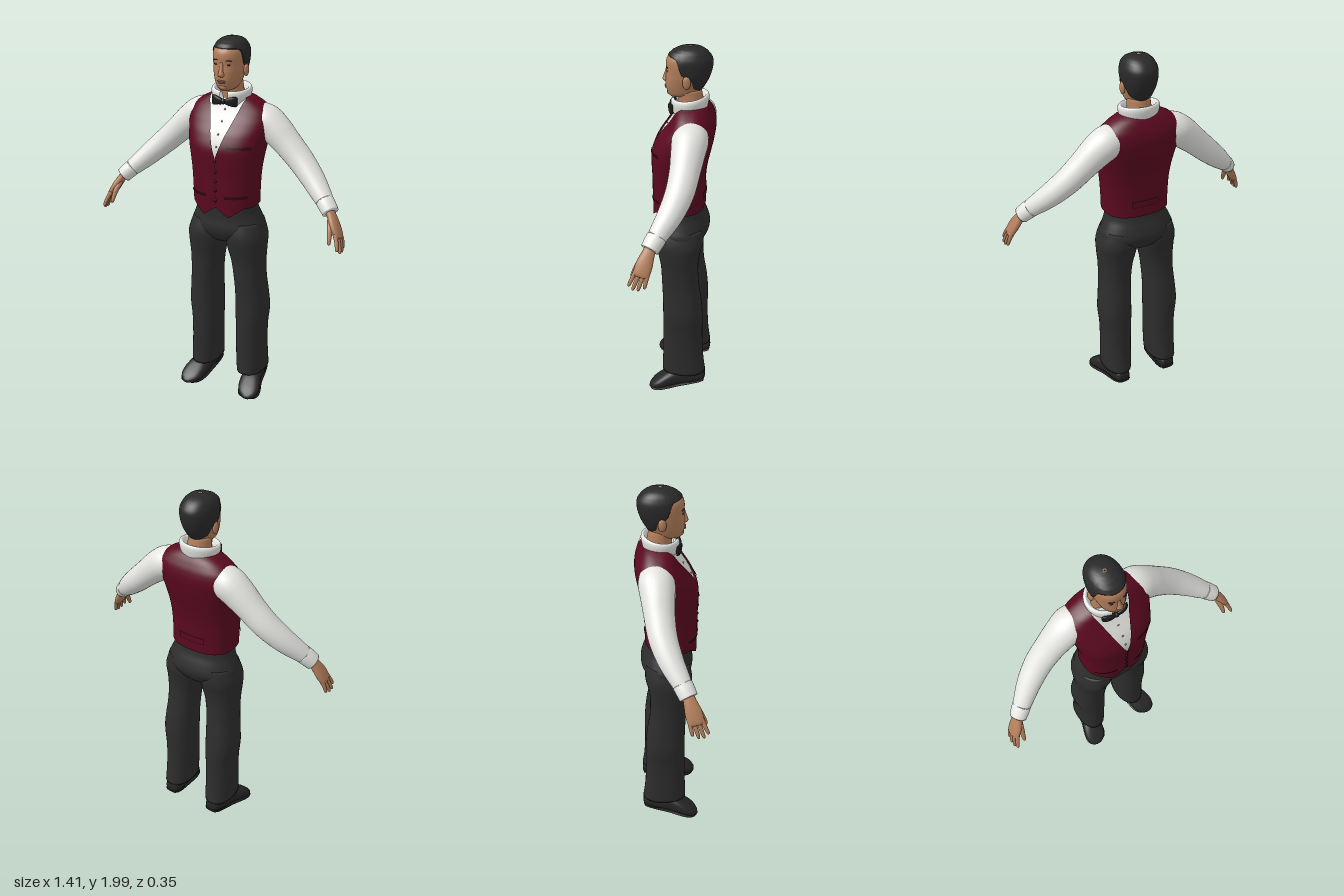
import * as THREE from 'three';

const V = (x, y, z) => new THREE.Vector3(x, y, z);
const lerp = THREE.MathUtils.lerp, clamp = THREE.MathUtils.clamp;
const mat = (name, color, side = THREE.FrontSide) => {
  const m = new THREE.MeshStandardMaterial({ color, side });
  m.name = name;
  return m;
};

// Smooth interpolation through rows of numbers: segment k, fraction f
function spline(rows, k, f) {
  const r = i => rows[clamp(i, 0, rows.length - 1)];
  const [a, b, c, d] = [r(k - 1), r(k), r(k + 1), r(k + 2)];
  return b.map((_, i) => b[i] + 0.5 * f * (c[i] - a[i] +
    f * (2 * a[i] - 5 * b[i] + 4 * c[i] - d[i] + f * (3 * (b[i] - c[i]) + d[i] - a[i]))));
}
// Look a row up by its first column
function byHeight(rows, y) {
  const h = clamp(y, rows[0][0], rows[rows.length - 1][0]);
  let k = 0;
  while (k < rows.length - 2 && h > rows[k + 1][0]) k++;
  return spline(rows, k, (h - rows[k][0]) / (rows[k + 1][0] - rows[k][0]));
}
// Surface from a function of u, v; wrap joins the u ends
function grid(nu, nv, f, wrap = false) {
  const pos = [], idx = [], w = wrap ? nu : nu + 1;
  for (let j = 0; j <= nv; j++) for (let i = 0; i < w; i++) pos.push(...f(i / nu, j / nv).toArray());
  for (let j = 0; j < nv; j++) for (let i = 0; i < nu; i++) {
    const a = j * w + i, b = j * w + (i + 1) % w;
    idx.push(a, b, b + w, a, b + w, a + w);
  }
  const g = new THREE.BufferGeometry();
  g.setAttribute('position', new THREE.Float32BufferAttribute(pos, 3));
  g.setIndex(idx);
  g.computeVertexNormals();
  return g;
}
const sp = (v, p) => Math.sign(v) * Math.abs(v) ** p;
// Closed loft; rows are [x, y, z, radius along ref, radius across]
function loft(rows, { axis, ref = V(0, 0, 1), p = 1, nu = 28, step = 4 } = {}) {
  const n = rows.length - 1, nv = n * step + 2;
  const at = t => { const k = Math.min(Math.floor(t), n - 1); return spline(rows, k, t - k); };
  return grid(nu, nv, (u, v) => {
    const j = Math.round(v * nv), t = clamp((j - 1) / (nv - 2), 0, 1) * n;
    const r = at(t), c = V(r[0], r[1], r[2]), s = j === 0 || j === nv ? 0 : 1, a = u * Math.PI * 2;
    const q0 = at(Math.max(0, t - 0.1)), q1 = at(Math.min(n, t + 0.1));
    const d = axis || V(q1[0] - q0[0], q1[1] - q0[1], q1[2] - q0[2]).normalize();
    const e1 = ref.clone().addScaledVector(d, -ref.dot(d)).normalize(), e2 = d.clone().cross(e1);
    return c.addScaledVector(e1, s * r[3] * sp(Math.cos(a), p)).addScaledVector(e2, s * r[4] * sp(Math.sin(a), p));
  }, true);
}

// Torso and head profiles: [y, half width, front z, back z]
const TORSO = [[1.13, .175, .15, -.12], [1.2, .176, .152, -.118], [1.3, .182, .152, -.12], [1.38, .192, .155, -.132],
  [1.45, .205, .153, -.148], [1.52, .218, .125, -.162], [1.58, .228, .085, -.168], [1.63, .213, .052, -.158],
  [1.67, .165, .034, -.138], [1.695, .118, .022, -.12], [1.705, .088, .012, -.1]];
const HEAD = [[1.733, .02, .056, 0], [1.742, .042, .068, -.035], [1.76, .057, .077, -.08], [1.79, .067, .085, -.102],
  [1.83, .077, .085, -.125], [1.87, .083, .081, -.14], [1.91, .085, .083, -.147], [1.94, .081, .076, -.143],
  [1.97, .066, .048, -.12], [1.985, .048, .018, -.095], [1.993, .026, -.01, -.066], [1.996, .003, -.034, -.04]];
const shell = (rows, p) => (a, y, off = 0) => {
  const [, rx, f, b] = byHeight(rows, y);
  return V((rx + off) * sp(Math.sin(a), p), y, (f + b) / 2 + ((f - b) / 2 + off) * sp(Math.cos(a), p));
};
const torso = shell(TORSO, 0.8), head = shell(HEAD, 0.92);
const angleAt = (rows, p, x, y) => Math.sign(x) * Math.asin(Math.min(0.95, Math.abs(x) / byHeight(rows, y)[1]) ** (1 / p));
const onTorso = (x, y, off) => torso(angleAt(TORSO, 0.8, x, y), y, off);
const onFace = (x, y, off) => head(angleAt(HEAD, 0.92, x, y), y, off);

export function createModel() {
  const root = new THREE.Group();
  root.name = 'waiter';
  const D = THREE.DoubleSide;
  const skin = mat('skin', 0xb27d5a), hair = mat('hair', 0x29292a, D), lips = mat('lips', 0x96614c),
    shirt = mat('shirt white', 0xe4e4e1, D), vest = mat('vest burgundy', 0x5a0920, D), trim = mat('vest trim', 0x30050f, D),
    cloth = mat('trouser charcoal', 0x2d2d2e), shoe = mat('shoe black', 0x262627), black = mat('bow black', 0x1b1b1d),
    button = mat('shirt button', 0x8c8c8c);
  const add = (name, geo, m, at) => {
    const mesh = new THREE.Mesh(geo, m);
    mesh.name = name;
    if (at) mesh.position.copy(at);
    root.add(mesh);
    return mesh;
  };
  const blob = (name, m, at, x, y, z) => add(name, new THREE.SphereGeometry(1, 20, 14), m, at).scale.set(x, y, z);

  // Head, neck and hair cap with a shaped hairline
  add('head', grid(48, 40, (u, v) => head(u * Math.PI * 2, lerp(1.733, 1.996, (1 - Math.cos(v * Math.PI)) / 2)), true), skin);
  add('neck', loft([[0, 1.62, -.05, .07, .075], [0, 1.7, -.045, .065, .064], [0, 1.78, -.035, .06, .058]], { axis: V(0, 1, 0) }), skin);
  const HAIRLINE = [[0, 1.95], [.8, 1.948], [1.15, 1.935], [1.35, 1.87], [1.6, 1.85], [1.85, 1.83], [2.1, 1.79], [Math.PI, 1.762]];
  add('hair', grid(64, 24, (u, v) => {
    const a = u * Math.PI * 2, low = byHeight(HAIRLINE, Math.min(a, 2 * Math.PI - a))[1];
    const y = lerp(low, 1.996, Math.sin(v * Math.PI / 2)), pnt = head(a, y, v === 0 ? -.003 : .006);
    pnt.y += .004 * v;
    return pnt;
  }, true), hair);

  // Face
  add('nose', loft([[0, 1.812, .084, .008, .012], [0, 1.822, .086, .015, .018], [0, 1.838, .086, .012, .012],
    [0, 1.86, .081, .009, .009], [0, 1.885, .076, .007, .008]], { axis: V(0, 1, 0) }), skin);
  blob('upperLip', lips, onFace(0, 1.79, -.001), .024, .005, .007);
  blob('lowerLip', lips, onFace(0, 1.781, -.001), .02, .005, .007);
  blob('chin', skin, onFace(0, 1.757, -.01), .024, .016, .015);
  for (const s of [1, -1]) {
    blob('eye', hair, onFace(s * .034, 1.874, -.001), .012, .004, .004);
    const brow = add('brow', new THREE.SphereGeometry(1, 16, 10), hair, onFace(s * .036, 1.895, 0));
    brow.scale.set(.018, .003, .004);
    brow.rotation.set(0, s * .35, -s * .08);
    blob('ear', skin, V(s * .086, 1.835, -.03), .012, .034, .021);
  }

  // Shirt body, collar and small buttons
  add('shirtBody', grid(64, 20, (u, v) => torso(u * Math.PI * 2, lerp(1.33, 1.705, v), -.007), true), shirt);
  const COLLAR = [[.098, 1.668], [.108, 1.715], [.104, 1.738], [.09, 1.738], [.074, 1.7], [.072, 1.67]];
  add('collar', grid(48, 20, (u, v) => {
    const a = lerp(.2, Math.PI * 2 - .2, u), t = v * 5, k = Math.min(4, Math.floor(t));
    const [r, y] = spline(COLLAR, k, t - k);
    return V(r * Math.sin(a), y - .012 * Math.cos(a), -.038 + r * .9 * Math.cos(a));
  }), shirt);
  for (const y of [1.46, 1.52, 1.58, 1.635]) blob('shirtButton', button, onTorso(0, y, -.006), .005, .005, .004);

  // Bow tie
  for (const s of [1, -1]) add('bowWing', loft([[.004, 1.68, .058, .011, .01], [.03, 1.681, .058, .02, .012],
    [.055, 1.681, .052, .026, .011], [.07, 1.681, .046, .024, .007]].map(r => [s * r[0], ...r.slice(1)]),
    { axis: V(s, 0, 0), ref: V(0, 1, 0), p: .7 }), black);
  blob('bowKnot', black, V(0, 1.68, .062), .013, .015, .013);

  // Vest: open V at the neck, pointed hem in front
  add('vest', grid(112, 56, (u, v) => {
    const y = lerp(1.13, 1.703, v), open = Math.max(0, y - 1.4) * .34;
    const a0 = angleAt(TORSO, 0.8, open, y), a = lerp(a0, Math.PI * 2 - a0, u);
    const x = Math.abs(torso(a, y).x), point = Math.cos(a) > 0 ? Math.max(0, 1 - Math.abs(x - .07) / .07) : 0;
    return torso(a, y - .052 * point * (1 - v) ** 6, .003);
  }), vest);
  const patch = (name, m, x0, x1, y0, y1, off, slope = 0, back = false) => add(name, grid(12, 2, (u, v) => {
    const x = lerp(x0, x1, u), y = lerp(y0, y1, v) + slope * u, a = angleAt(TORSO, 0.8, x, y);
    return torso(back ? Math.PI - a : a, y, off);
  }), m);
  patch('chestPocket', trim, .06, .175, 1.452, 1.468, .007, .006);
  for (const s of [1, -1]) patch('waistPocket', trim, s * .05, s * .155, 1.183, 1.199, .007, .004);
  patch('backStrapEdge', trim, .075, -.075, 1.185, 1.225, .006, 0, true);
  patch('backStrap', vest, .07, -.07, 1.19, 1.22, .009, 0, true);
  patch('frontSeam', trim, -.0015, .0015, 1.14, 1.4, .006);
  for (const y of [1.17, 1.225, 1.275, 1.325, 1.385]) blob('vestButton', trim, onTorso(0, y, .005), .008, .008, .005);

  // Trouser seat
  add('trouserSeat', loft([[0, .895, -.005, .05, .03], [0, .92, -.005, .1, .12], [0, .96, -.005, .128, .185],
    [0, 1.0, -.007, .14, .207], [0, 1.05, -.004, .132, .189], [0, 1.1, .005, .123, .17], [0, 1.16, .012, .12, .165]],
    { axis: V(0, 1, 0), p: .9, nu: 48 }), cloth);

  for (const s of [1, -1]) {
    const side = s > 0 ? 'left' : 'right', part = n => side + n;
    const mir = rows => rows.map(r => [s * r[0], ...r.slice(1)]);

    // Trouser leg
    add(part('TrouserLeg'), loft(mir([[.143, .118, -.026, .122, .078], [.14, .2, -.022, .115, .08], [.138, .3, -.02, .111, .08],
      [.138, .4, -.02, .11, .083], [.142, .5, -.02, .109, .09], [.138, .6, -.015, .105, .087], [.131, .7, -.005, .1, .086],
      [.124, .8, 0, .101, .093], [.116, .88, .003, .113, .106], [.112, .95, 0, .126, .109], [.1, 1.03, -.005, .115, .095]]),
      { axis: V(0, 1, 0), p: .9, nu: 36 }), cloth);

    // Shoe and sole, toe turned out and pointing down
    const SHOE = [[.142, .09, -.148, .015, .012], [.143, .09, -.138, .032, .038], [.147, .086, -.09, .042, .047],
      [.158, .078, 0, .052, .052], [.17, .064, .06, .046, .061], [.18, .045, .11, .033, .062], [.186, .03, .145, .02, .046],
      [.19, .02, .165, .007, .014]];
    const along = { axis: V(0, 0, 1), ref: V(0, 1, 0), p: .8 };
    add(part('Shoe'), loft(mir(SHOE), along), shoe);
    add(part('Sole'), loft(mir(SHOE.map(([x, y, z, h, w]) => [x, y - h + .006, z, .008, w + .003])), along), black);
    add(part('Heel'), loft(mir([[.143, .062, -.142, .012, .035], [.145, .056, -.1, .016, .044], [.149, .05, -.06, .014, .044]]), along), black);

    // Sleeve and cuff
    add(part('Sleeve'), loft(mir([[.13, 1.595, -.062, .08, .075], [.19, 1.572, -.062, .092, .085], [.25, 1.528, -.058, .086, .082],
      [.32, 1.465, -.052, .077, .073], [.4, 1.39, -.038, .072, .067], [.48, 1.316, -.005, .064, .06], [.55, 1.25, .038, .052, .05],
      [.59, 1.213, .064, .043, .041]]), { nu: 36, step: 6 }), shirt);
    add(part('Cuff'), loft(mir([[.568, 1.233, .05, .05, .046], [.59, 1.212, .064, .049, .045], [.614, 1.187, .079, .046, .042]])), shirt);
    blob(part('CuffButton'), button, V(s * .618, 1.222, .098), .005, .005, .005);

    // Hand: palm, four fingers and thumb
    add(part('Palm'), loft(mir([[.6, 1.205, .072, .027, .02], [.625, 1.168, .085, .033, .021], [.65, 1.125, .1, .042, .021],
      [.672, 1.085, .111, .041, .017], [.68, 1.07, .115, .034, .01]]), { p: .9 }), skin);
    const dir = V(.45, -.845, .29), across = V(-.136, .256, .957);
    [-1.5, -.5, .5, 1.5].forEach((f, i) => {
      const len = [.078, .098, .104, .092][i];
      const rows = [[-.015, .012], [.35, .0105], [.7, .0095], [.93, .0075], [1, .003]].map(([t, r]) => {
        const c = V(.668, 1.09, .11).addScaledVector(across, f * (.02 + .006 * t)).addScaledVector(dir, t * len);
        return [c.x - .014 * t * t, c.y, c.z, r, r];
      });
      add(part('Finger'), loft(mir(rows), { nu: 12, step: 3 }), skin);
    });
    add(part('Thumb'), loft(mir([[.622, 1.155, .1, .015, .016], [.632, 1.12, .128, .015, .015], [.638, 1.085, .148, .012, .012],
      [.642, 1.055, .162, .009, .009], [.643, 1.046, .165, .003, .003]]), { nu: 14 }), skin);
  }
  return root;
}
